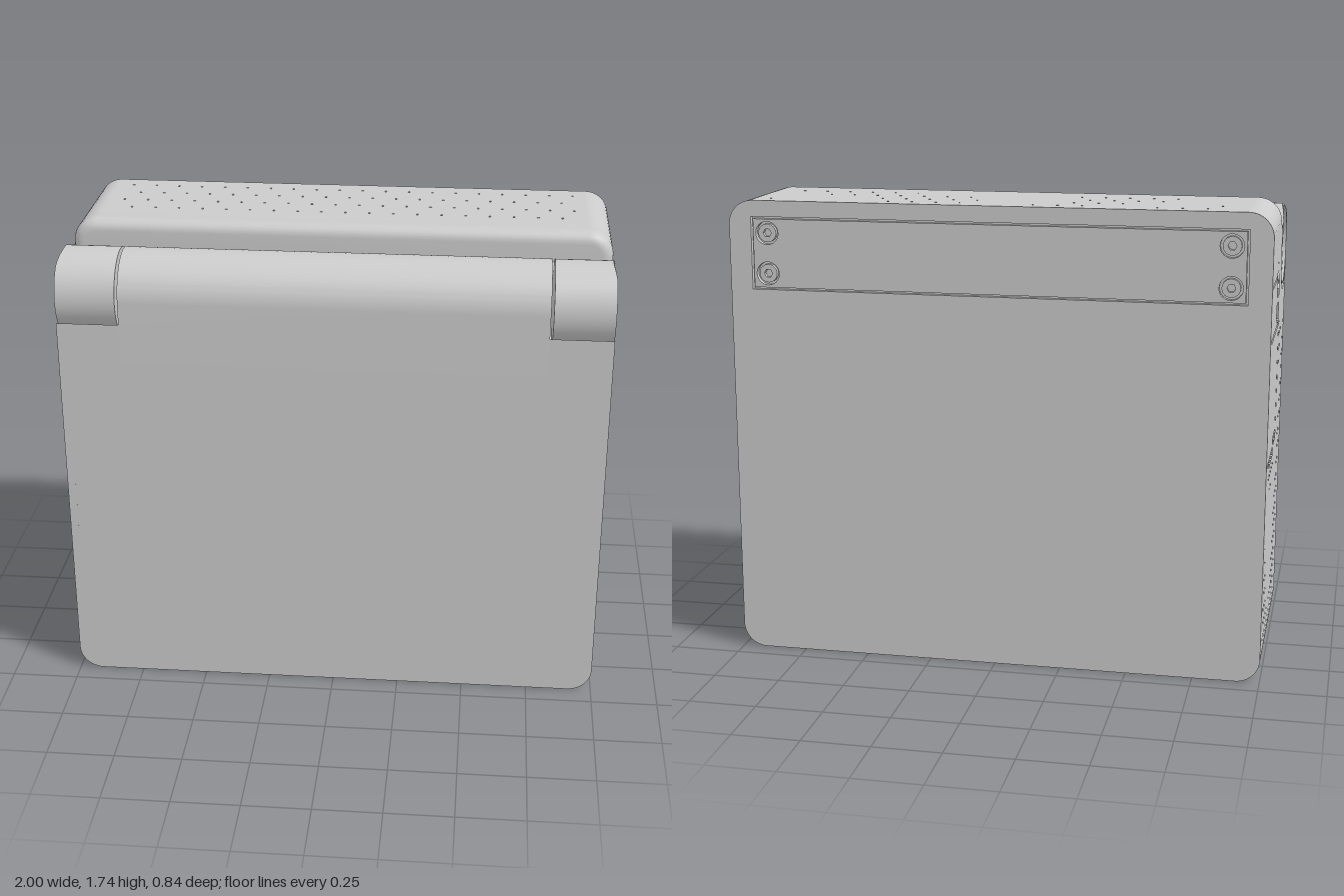
import * as THREE from 'three';
import { toCreasedNormals } from 'three/addons/utils/BufferGeometryUtils.js';

const material = new THREE.MeshStandardMaterial({ color: 0xcccccc });
const HINGE = { z: 0.265, y: 1.54, r: 0.155 };
const H = 1.74, R = 0.09, WALL = 0.03;

// ---- point-list helpers ----
const arc = (cx, cy, r, a0, a1, n = 16) => Array.from({ length: n + 1 }, (_, i) => {
  const a = a0 + (a1 - a0) * i / n;
  return [cx + r * Math.cos(a), cy + r * Math.sin(a)];
});
const rect = (x0, y0, x1, y1) => [[x0, y0], [x1, y0], [x1, y1], [x0, y1]];
const circle = (cx, cy, r, n = 24) => arc(cx, cy, r, 0, Math.PI * 2, n).slice(0, n);
const stadium = (cx, cy, w, h) => [
  ...arc(cx + (w - h) / 2, cy, h / 2, -Math.PI / 2, Math.PI / 2, 10),
  ...arc(cx - (w - h) / 2, cy, h / 2, Math.PI / 2, Math.PI * 1.5, 10)];

// staggered field of small ventilation holes
function vents(u0, v0, u1, v1, step, r, keep = () => true) {
  const out = [];
  for (let j = 0, v = v0; v <= v1; v += step, j++)
    for (let u = u0 + (j % 2) * step / 2; u <= u1; u += step)
      if (keep(u, v)) out.push(circle(u, v, r, 6));
  return out;
}

// ---- extrusion along each axis ----
function extrude(pts, holes, depth) {
  const vec = list => list.map(p => new THREE.Vector2(p[0], p[1]));
  const shape = new THREE.Shape(vec(pts));
  shape.holes = holes.map(h => new THREE.Path(vec(h)));
  return new THREE.ExtrudeGeometry(shape, { depth, bevelEnabled: false });
}
const smooth = g => toCreasedNormals(g, 0.5);
const alongZ = (pts, z0, z1, holes = []) => smooth(extrude(pts, holes, z1 - z0).translate(0, 0, z0));
const alongY = (pts, y0, y1, holes = []) =>   // points are (x, z)
  smooth(extrude(pts, holes, y1 - y0).rotateX(Math.PI / 2).translate(0, y1, 0));
const alongX = (pts, x0, x1, holes = []) => { // points are (z, y)
  const flip = l => l.map(([z, y]) => [-z, y]);
  return smooth(extrude(flip(pts), holes.map(flip), x1 - x0).rotateY(Math.PI / 2).translate(x0, 0, 0));
};

const roundedOutline = (y0 = 0, r0 = R) => [
  ...arc(1 - r0, y0 + r0, r0, -Math.PI / 2, 0, 12), ...arc(1 - R, H - R, R, 0, Math.PI / 2, 12),
  ...arc(-1 + R, H - R, R, Math.PI / 2, Math.PI, 12), ...arc(-1 + r0, y0 + r0, r0, Math.PI, Math.PI * 1.5, 12)];

// inner block: rounded corners reach the outside, flats sit behind the wall panels
function coreOutline(top) {
  const half = [[1 - R, WALL], ...arc(1 - R, R, R, -Math.PI / 2, 0, 12), [1 - WALL, R]];
  if (top) half.push([1 - WALL, H - R], ...arc(1 - R, H - R, R, 0, Math.PI / 2, 12), [1 - R, H - WALL]);
  else half.push([1 - WALL, 1.3]);
  return [...half, ...half.map(([x, y]) => [-x, y]).reverse()];
}

// cradle under a hinge cap: clearance arc at the front, contact arc at the back
const cradle = () => {
  const a0 = -0.482, a1 = -2.25, a2 = -3.61;
  return [...arc(HINGE.z, HINGE.y, 0.175, a0, a1, 24),
    ...arc(HINGE.z, HINGE.y, HINGE.r, a1, a2, 14), [0.08, 1.635], [0.05, 1.635]];
};

export function createModel() {
  const model = new THREE.Group();
  const add = (name, geometry, parent = model) => {
    const mesh = new THREE.Mesh(geometry, material);
    mesh.name = name;
    parent.add(mesh);
    return mesh;
  };

  // housing
  add('rearCore', alongZ(coreOutline(true), -0.4, 0.03));
  add('frontCore', alongZ(coreOutline(false), 0.03, 0.42));
  const lip = new THREE.ExtrudeGeometry(
    new THREE.Shape(roundedOutline(1.4, 0.05).map(p => new THREE.Vector2(...p))),
    { depth: 0.045, bevelThickness: 0.04, bevelSize: 0.04, bevelOffset: -0.04, bevelSegments: 6 });
  add('topFrontLip', smooth(lip.translate(0, 0, 0.005)));

  // back wall with its screwed cover plate
  const plate = [-0.916, 1.41, 0.916, 1.68], gap = 0.008;
  add('backWall', alongZ(roundedOutline(), -0.42, -0.4, [rect(...plate)]));
  const screws = [[-0.855, 1.62], [-0.855, 1.47], [0.855, 1.62], [0.855, 1.47]];
  add('backCoverPlate', alongZ(
    rect(plate[0] + gap, plate[1] + gap, plate[2] - gap, plate[3] - gap), -0.42, -0.4,
    screws.map(([x, y]) => circle(x, y, 0.043))));
  for (const [x, y] of screws)
    add('coverScrew', alongZ(circle(x, y, 0.034), -0.416, -0.4, [circle(x, y, 0.016, 6)]));

  // side walls
  const wall = [[-0.4, R], [0.42, R], ...cradle(), [0.05, H - R], [-0.4, H - R]];
  const clearOfHinge = (z, y) => y < 1.28 || (z < -0.06 && y < 1.6);
  const slot = rect(-0.015, 0.23, 0.04, 0.575);
  add('leftWall', alongX(wall, 1 - WALL, 1, [slot,
    ...vents(-0.34, 0.16, 0.36, 1.6, 0.1, 0.005, (z, y) =>
      clearOfHinge(z, y) && !(z > -0.05 && z < 0.08 && y > 0.2 && y < 0.6))]));
  const hatch = [
    [[-0.39, 1.265], [0.055, 1.265], [0.055, 0.86], [0.065, 0.86], [0.065, 1.275], [-0.39, 1.275]],
    rect(-0.07, 0.82, 0.06, 0.85), rect(-0.29, 0.785, -0.08, 0.815), rect(-0.39, 0.81, -0.31, 0.82),
    rect(-0.1, 1.29, 0, 1.36), rect(-0.1, 1.385, 0, 1.48), rect(-0.39, 1.465, -0.115, 1.473)];
  add('rightWall', alongX(wall, -1, -1 + WALL, [...hatch,
    ...vents(-0.35, 0.14, 0.37, 1.6, 0.06, 0.008, (z, y) =>
      clearOfHinge(z, y) && !(z < 0.09 && y > 0.75 && y < 1.52))]));

  // top wall
  add('topWall', alongY(rect(-1 + R, -0.4, 1 - R, 0.03), H - WALL, H,
    vents(-0.85, -0.35, 0.86, -0.01, 0.09, 0.005)));

  // bottom wall with recessed ports
  const ports = [[0, -0.09], [-0.28, -0.09], [-0.73, -0.09]], button = [0.35, -0.11];
  add('bottomWall', alongY(rect(-1 + R, -0.4, 1 - R, 0.42), 0, WALL, [
    circle(...button, 0.085), ...ports.map(([x, z]) => stadium(x, z, 0.24, 0.11)),
    ...vents(-0.84, 0.06, 0.85, 0.36, 0.1, 0.005)]));
  for (const [x, z] of ports) {
    add('portShell', alongY(stadium(x, z, 0.19, 0.07), 0.006, WALL, [stadium(x, z, 0.17, 0.05)]));
    add('portTongue', alongY(stadium(x, z, 0.13, 0.02), 0.01, WALL));
  }
  add('buttonCollar', alongY(circle(...button, 0.062), 0.012, WALL));
  add('button', alongY(circle(...button, 0.042), 0.002, WALL));

  // hinge barrel, fused with the front
  add('hingeBarrel', alongX([[0.03, 1.3], [0.42, 1.3],
    ...arc(HINGE.z, HINGE.y, HINGE.r, 0, 2.673, 40), [0.03, 1.61]], -0.772, 0.772));

  // hinge caps and their cradles, one per side
  for (const s of [1, -1]) {
    const cap = new THREE.Group();
    cap.name = s > 0 ? 'leftHinge' : 'rightHinge';
    model.add(cap);
    const span = (a, b) => s > 0 ? [a, b] : [-b, -a];
    add('hingeCradle', alongX([[0.03, 1.3], [0.42, 1.3], ...cradle(), [0.03, 1.635]],
      ...span(0.772, 1 - WALL)), cap);

    const profile = [[0, 0.782], [HINGE.r, 0.782], [HINGE.r, 1], [0.148, 1], [0.148, 0.978], [0, 0.978]];
    const body = new THREE.LatheGeometry(profile.map(p => new THREE.Vector2(...p)), 64)
      .rotateZ(-s * Math.PI / 2).translate(0, HINGE.y, HINGE.z);
    // trim the outer end to the rounded corner of the housing
    const pos = body.attributes.position;
    for (let i = 0; i < pos.count; i++) {
      const dy = Math.max(0, pos.getY(i) - (H - R));
      const limit = 1 - R + Math.sqrt(R * R - dy * dy);
      pos.setX(i, s * Math.min(Math.abs(pos.getX(i)), limit));
    }
    add('hingeCap', smooth(body), cap);

    // end plate with one flat edge and small holes
    const dots = [0, 1, 2, 3].map(i =>
      circle(HINGE.z + 0.06 * Math.cos(i * Math.PI / 2), HINGE.y + 0.06 * Math.sin(i * Math.PI / 2), 0.007, 8));
    add('hingeEndPlate', alongX(arc(HINGE.z, HINGE.y, 0.143, 0.693, Math.PI * 2 - 0.693, 48),
      ...span(0.97, 0.99), [circle(HINGE.z, HINGE.y, 0.01, 8), ...dots]), cap);
  }
  return model;
}
